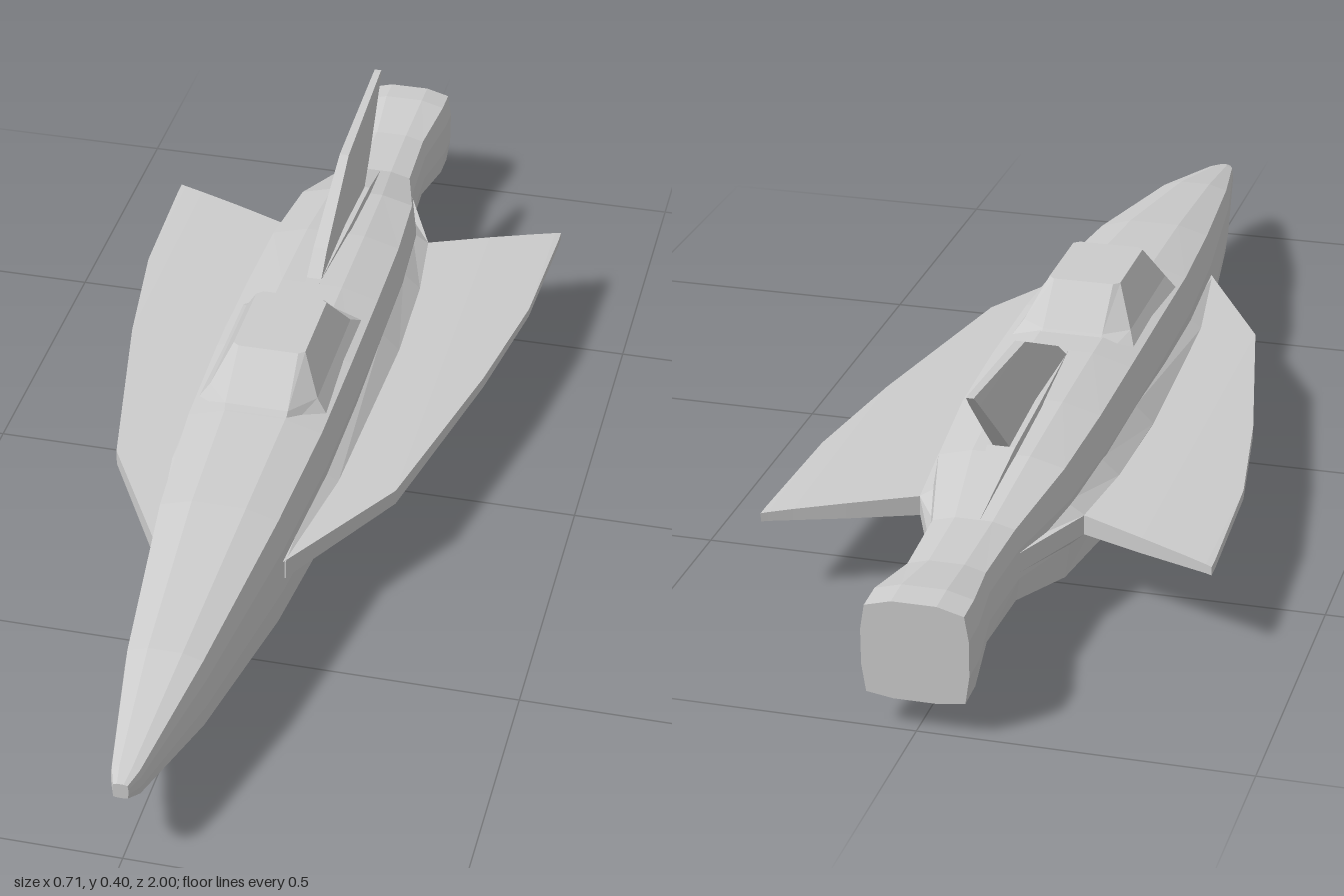
import * as THREE from 'three';

const material = new THREE.MeshStandardMaterial({ color: 0xcccccc, flatShading: true });

// Closed solid through equal-length rings of [x, y, z], capped at both ends.
function loft(name, rings) {
  const tris = [];
  const n = rings[0].length;
  for (let r = 0; r < rings.length - 1; r++) {
    for (let i = 0; i < n; i++) {
      const j = (i + 1) % n;
      const [a, b, c, d] = [rings[r][i], rings[r][j], rings[r + 1][j], rings[r + 1][i]];
      tris.push([a, b, c], [a, c, d]);
    }
  }
  const last = rings[rings.length - 1];
  for (let i = 1; i < n - 1; i++) {
    tris.push([rings[0][0], rings[0][i + 1], rings[0][i]], [last[0], last[i], last[i + 1]]);
  }
  // Make the faces point outwards whichever way the rings run.
  let volume = 0;
  for (const [a, b, c] of tris) {
    volume += new THREE.Vector3(...a).dot(new THREE.Vector3(...b).cross(new THREE.Vector3(...c)));
  }
  if (volume < 0) tris.forEach((t) => t.reverse());
  const geometry = new THREE.BufferGeometry();
  geometry.setAttribute('position', new THREE.Float32BufferAttribute(tris.flat(2), 3));
  geometry.computeVertexNormals();
  const mesh = new THREE.Mesh(geometry, material);
  mesh.name = name;
  return mesh;
}

// Boxy hull section with slightly bulged faces.
function hullRing([z, w, bottom, top]) {
  const h = top - bottom;
  const cy = (top + bottom) / 2;
  const half = [
    [0.42 * w, bottom], [0.92 * w, bottom + 0.04 * h], [w, cy - 0.18 * h],
    [w, cy + 0.18 * h], [0.92 * w, top - 0.07 * h], [0.42 * w, top],
  ];
  const mirrored = half.map(([x, y]) => [-x, y]).reverse();
  return [...half, ...mirrored].map(([x, y]) => [x, y, z]);
}

export function createModel() {
  const group = new THREE.Group();
  group.name = 'spacecraft';

  // Fuselage: z, half width, bottom, top
  group.add(loft('fuselage', [
    [1, 0.012, 0.118, 0.144], [0.97, 0.023, 0.104, 0.152], [0.75, 0.064, 0.06, 0.198],
    [0.43, 0.104, 0.02, 0.241], [0.2, 0.121, 0.004, 0.257], [0, 0.125, 0.001, 0.264],
    [-0.2, 0.125, 0.002, 0.262], [-0.38, 0.122, 0.012, 0.255], [-0.55, 0.109, 0.03, 0.238],
    [-0.7, 0.07, 0.064, 0.197], [-0.84, 0.065, 0.066, 0.194],
    [-0.95, 0.081, 0.052, 0.209], [-1, 0.081, 0.05, 0.207],
  ].map(hullRing)));

  // Canopy: octagonal rings, each given as its right half
  group.add(loft('canopy', [
    [0.235, [[0.05, 0.215], [0.112, 0.15], [0.112, -0.15], [0.05, -0.22]]],
    [0.265, [[0.052, 0.188], [0.09, 0.14], [0.09, -0.1], [0.05, -0.13]]],
    [0.325, [[0.05, 0.108], [0.06, 0.1], [0.06, -0.05], [0.05, -0.06]]],
  ].map(([y, half]) => [
    ...half.map(([x, z]) => [x, y, z]),
    ...half.map(([x, z]) => [-x, y, z]).reverse(),
  ])));

  // Tail fin: y, front z, rear z, half thickness
  group.add(loft('tailFin', [
    [0.22, -0.17, -0.52, 0.014], [0.255, -0.205, -0.555, 0.013], [0.295, -0.26, -0.598, 0.012],
    [0.378, -0.44, -0.687, 0.008], [0.4, -0.7, -0.71, 0.006],
  ].map(([y, front, rear, t]) => [[-t, y, front], [t, y, front], [t, y, rear], [-t, y, rear]])));

  // Low spine under the fin
  group.add(loft('finSpine', [
    [-0.2, 0.015, 0.262], [-0.4, 0.028, 0.263], [-0.55, 0.028, 0.25], [-0.7, 0.012, 0.197],
  ].map(([z, w, y]) => [[-w, y - 0.05, z], [w, y - 0.05, z], [w * 0.8, y, z], [-w * 0.8, y, z]])));

  for (const [side, s] of [['left', 1], ['right', -1]]) {
    // Wing: x, leading z, trailing z, bottom, top
    group.add(loft(side + 'Wing', [
      [0.06, 0.5, -0.52, 0.114, 0.152], [0.106, 0.43, -0.54, 0.116, 0.15],
      [0.235, 0.2, -0.6, 0.121, 0.147], [0.31, -0.16, -0.634, 0.125, 0.144],
      [0.345, -0.39, -0.65, 0.127, 0.142], [0.355, -0.63, -0.655, 0.127, 0.141],
    ].map(([x, front, rear, bottom, top]) => [
      [s * x, bottom, front], [s * x, top, front], [s * x, top, rear], [s * x, bottom, rear],
    ])));

    // Wing root fairing: z, outer x, inner bottom, inner top
    group.add(loft(side + 'WingFairing', [
      [0.43, 0.108, 0.112, 0.152], [0.2, 0.14, 0.088, 0.168], [-0.2, 0.154, 0.078, 0.178],
      [-0.4, 0.148, 0.082, 0.175], [-0.55, 0.132, 0.09, 0.168], [-0.71, 0.066, 0.112, 0.148],
    ].map(([z, x, bottom, top]) => [
      [s * (x - 0.08), bottom, z], [s * (x - 0.03), bottom, z], [s * x, 0.117, z],
      [s * x, 0.149, z], [s * (x - 0.03), top, z], [s * (x - 0.08), top, z],
    ])));
  }
  return group;
}
